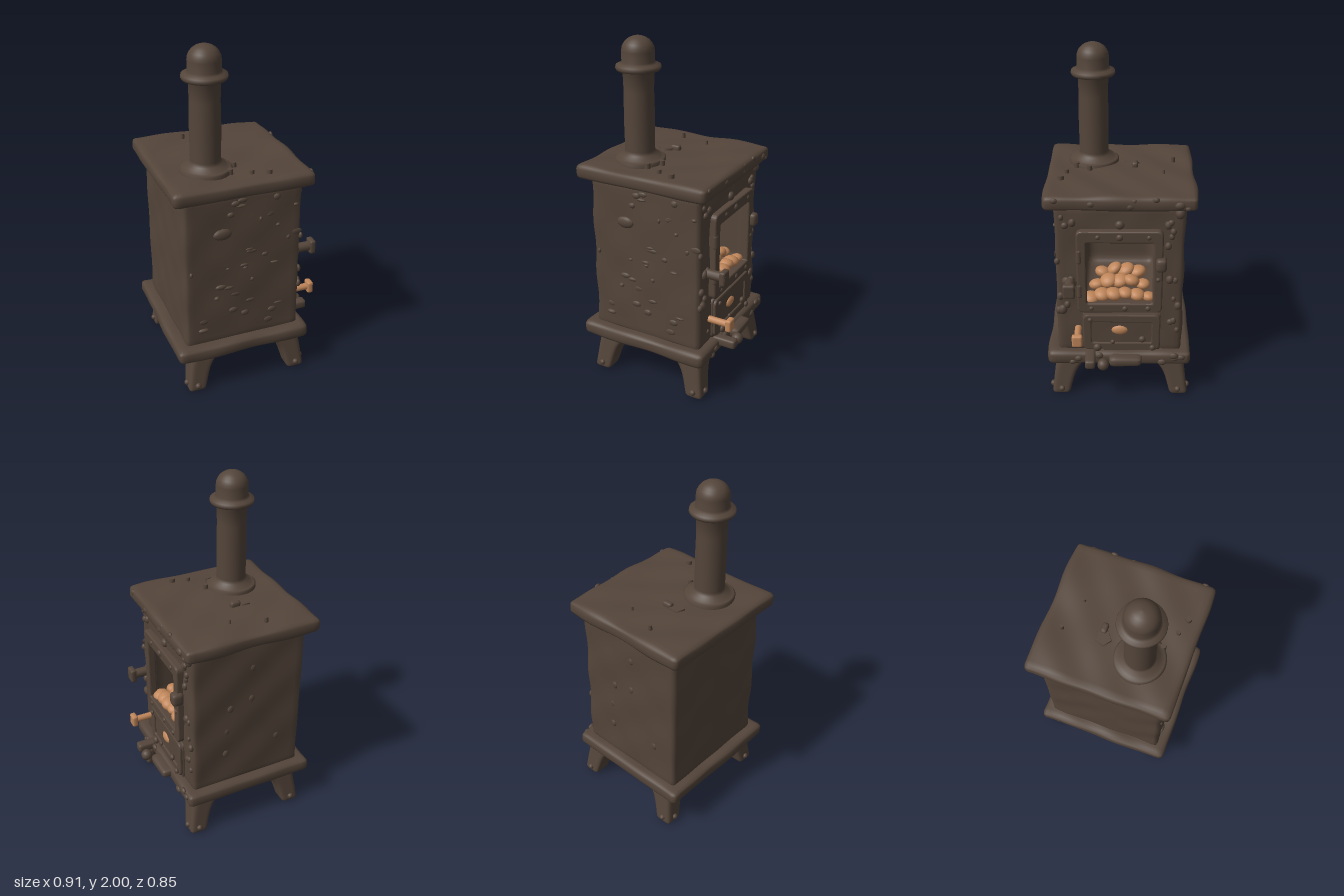
import * as THREE from 'three';
import { mergeVertices } from 'three/addons/utils/BufferGeometryUtils.js';

const iron = new THREE.MeshStandardMaterial({ color: 0x54453a, side: THREE.DoubleSide });
iron.name = 'dark iron';
const copper = new THREE.MeshStandardMaterial({ color: 0xc0865a });
copper.name = 'copper ember';

let seed = 11;
const rand = (a = 0, b = 1) => {
  seed = (seed * 16807) % 2147483647;
  return a + (b - a) * (seed / 2147483647);
};

// Smooth uneven surface value for hand-cast metal
const uneven = (p) =>
  Math.sin(p.x * 13 + p.y * 7) * Math.sin(p.y * 11 - p.z * 9) * 0.6 +
  Math.sin(p.z * 21 + p.x * 17 + 1) * Math.sin(p.y * 19 + 2) * 0.4;

// Finely divided box with rounded edges; keep(p) may drop faces, warp(p) may move points
function castBox([x0, x1], [y0, y1], [z0, z1], r, wobble = 0, { keep, warp, step = 0.025 } = {}) {
  const size = new THREE.Vector3(x1 - x0, y1 - y0, z1 - z0);
  const seg = size.toArray().map((s) => Math.max(4, Math.round(s / step)));
  let geo = new THREE.BoxGeometry(size.x, size.y, size.z, ...seg);
  geo.deleteAttribute('uv');
  geo.deleteAttribute('normal');
  geo = mergeVertices(geo);
  const pos = geo.attributes.position;
  const inner = size.clone().multiplyScalar(0.5).subScalar(r);
  const centre = new THREE.Vector3((x0 + x1) / 2, (y0 + y1) / 2, (z0 + z1) / 2);
  const p = new THREE.Vector3(), core = new THREE.Vector3();
  if (keep) {
    const idx = geo.index.array, kept = [];
    for (let i = 0; i < idx.length; i += 3) {
      p.set(0, 0, 0);
      for (let k = 0; k < 3; k++) p.add(core.fromBufferAttribute(pos, idx[i + k]));
      p.divideScalar(3).add(centre);
      if (keep(p)) kept.push(idx[i], idx[i + 1], idx[i + 2]);
    }
    geo.setIndex(kept);
  }
  for (let i = 0; i < pos.count; i++) {
    p.fromBufferAttribute(pos, i);
    core.copy(p).clamp(inner.clone().negate(), inner);
    const dir = p.clone().sub(core).normalize();
    p.copy(core).addScaledVector(dir, r).add(centre);
    p.addScaledVector(dir, uneven(p) * wobble);
    if (warp) warp(p);
    pos.setXYZ(i, p.x, p.y, p.z);
  }
  geo.computeVertexNormals();
  return geo;
}

export function createModel() {
  const model = new THREE.Group();
  const add = (name, geo, mat = iron, parent = model) => {
    const m = new THREE.Mesh(geo, mat);
    m.name = name;
    parent.add(m);
    return m;
  };
  const group = (name) => {
    const g = new THREE.Group();
    g.name = name;
    model.add(g);
    return g;
  };

  // Hollow body and firebox, open towards +x
  const shut = (p) => !(p.x > 0.29 && Math.abs(p.z) < 0.2 && p.y > 0.62 && p.y < 1.05);
  add('body', castBox([-0.39, 0.3], [0.29, 1.24], [-0.36, 0.36], 0.02, 0.006, { keep: shut }));
  add('firebox', castBox([-0.2, 0.3], [0.61, 1.06], [-0.21, 0.21], 0.05, 0, { keep: (p) => p.x < 0.297 }));

  // Top plate and base plate
  add('topPlate', castBox([-0.455, 0.355], [1.225, 1.307], [-0.42, 0.415], 0.025, 0.008));
  add('basePlate', castBox([-0.45, 0.35], [0.225, 0.308], [-0.415, 0.42], 0.025, 0.008));

  // Splayed legs, flaring where they meet the base
  for (const sx of [-1, 1]) for (const sz of [-1, 1]) {
    const leg = group('leg');
    const warp = (p) => {
      const t = Math.max(0, p.y / 0.24), flare = 0.03 * t + 0.075 * t ** 5;
      const inX = 0.5 - (p.x * sx) / 0.11, inZ = 0.5 - (p.z * sz) / 0.11;
      p.x = sx * (0.385 - 0.03 * t - inX * (0.105 + flare)) - 0.03 + (sx < 0 ? 0.02 : -0.015);
      p.z = sz * (0.405 - 0.03 * t - inZ * (0.105 + flare));
    };
    add('legCasting', castBox([-0.055, 0.055], [0, 0.25], [-0.055, 0.055], 0.022, 0, { warp, step: 0.011 }), iron, leg);
    const cx = sx < 0 ? -0.34 : 0.285;
    for (const [dx, dz] of [[0, 0.055], [0.05, 0]]) {
      add('legStud', new THREE.SphereGeometry(0.018, 10, 8), iron, leg)
        .position.set(cx + sx * dx, 0.04, sz * (0.35 + dz - 0.005));
    }
  }

  // Flue pipe with foot, collar and domed cap
  const profile = [[0.145, 1.29], [0.145, 1.32], [0.135, 1.328], [0.118, 1.328], [0.112, 1.342], [0.09, 1.35],
    [0.084, 1.37], [0.086, 1.55], [0.083, 1.7], [0.086, 1.81], [0.118, 1.818], [0.125, 1.83], [0.122, 1.845],
    [0.1, 1.852], [0.09, 1.865], [0.09, 1.92]];
  for (let i = 1; i <= 6; i++) {
    const a = (i / 6) * Math.PI / 2;
    profile.push([Math.max(0.0001, 0.09 * Math.cos(a)), 1.92 + 0.08 * Math.sin(a)]);
  }
  add('fluePipe', new THREE.LatheGeometry(profile.map(([x, y]) => new THREE.Vector2(x, y)), 40))
    .position.set(-0.19, 0, 0.155);

  // Fire door frame
  const rect = (S, hw, y0, y1, r) => {
    const s = new S();
    s.moveTo(-hw + r, y0); s.lineTo(hw - r, y0); s.quadraticCurveTo(hw, y0, hw, y0 + r);
    s.lineTo(hw, y1 - r); s.quadraticCurveTo(hw, y1, hw - r, y1);
    s.lineTo(-hw + r, y1); s.quadraticCurveTo(-hw, y1, -hw, y1 - r);
    s.lineTo(-hw, y0 + r); s.quadraticCurveTo(-hw, y0, -hw + r, y0);
    return s;
  };
  const frame = rect(THREE.Shape, 0.23, 0.59, 1.09, 0.025);
  frame.holes.push(rect(THREE.Path, 0.195, 0.632, 1.038, 0.02));
  const frameGeo = new THREE.ExtrudeGeometry(frame, {
    depth: 0.03, bevelEnabled: true, bevelSize: 0.01, bevelThickness: 0.01, bevelSegments: 3, curveSegments: 6 });
  frameGeo.rotateY(Math.PI / 2).translate(0.298, 0, 0);
  add('fireDoorFrame', frameGeo);

  // Ash door with raised rim
  add('ashDoor', castBox([0.28, 0.318], [0.31, 0.565], [-0.235, 0.215], 0.015, 0.003));
  const rim = rect(THREE.Shape, 0.215, 0.325, 0.55, 0.03);
  rim.holes.push(rect(THREE.Path, 0.18, 0.36, 0.515, 0.02));
  const rimGeo = new THREE.ExtrudeGeometry(rim, { depth: 0.01, bevelSize: 0.007, bevelThickness: 0.007, bevelSegments: 2 });
  add('ashDoorRim', rimGeo.rotateY(Math.PI / 2).translate(0.312, 0, -0.01));
  const nugget = add('emberPatch', new THREE.DodecahedronGeometry(0.04, 1), copper);
  nugget.position.set(0.312, 0.45, 0);
  nugget.scale.set(0.5, 0.8, 1.25);

  // Ember bed
  const coals = group('embers');
  for (let row = 0; row < 3; row++) for (let i = 0; i < 6 - row; i++) {
    const r = rand(0.036, 0.048);
    const c = add('ember', new THREE.SphereGeometry(r, 16, 12), copper, coals);
    const z = (i - (5 - row) / 2) * 0.066;
    c.position.set(0.27 - row * 0.07, 0.65 + row * 0.037 + 0.02 * Math.cos(z * 9) + rand(-0.012, 0.012), z);
    c.scale.set(1.15, 0.8, 1.15);
    c.rotation.set(rand(-0.4, 0.4), rand(0, 3), rand(-0.4, 0.4));
  }

  // Door handles: shaft along +x with a square end
  const handle = (name, mat, y, z, end, r, w) => {
    const g = group(name), len = end - 0.28;
    add('shaft', new THREE.CylinderGeometry(r, r, len, 14).rotateZ(Math.PI / 2), mat, g).position.set(0.28 + len / 2, y, z);
    add('grip', castBox([end - 0.035, end], [y - w, y + w], [z - w * 0.8, z + w * 0.8], 0.01, 0, { step: 0.008 }), mat, g);
  };
  handle('fireDoorHandle', iron, 0.768, 0.28, 0.428, 0.028, 0.042);
  handle('ashDoorHandle', copper, 0.455, 0.24, 0.45, 0.02, 0.037);

  // Ash lip, latch, hinge and knobs on the door side
  add('ashLip', castBox([0.28, 0.4], [0.245, 0.3], [-0.13, 0.06], 0.02, 0.006));
  add('ashLipPeg', castBox([0.3, 0.445], [0.26, 0.315], [0.14, 0.2], 0.015, 0, { step: 0.012 }));
  add('lipKnob', new THREE.SphereGeometry(0.034, 16, 12)).position.set(0.415, 0.277, 0.095);
  add('latch', castBox([0.3, 0.37], [0.86, 0.94], [-0.26, -0.2], 0.02, 0, { step: 0.015 }));
  for (const y of [0.72, 0.94]) {
    add('hinge', new THREE.CapsuleGeometry(0.018, 0.06, 4, 10)).position.set(0.325, y, 0.225);
  }

  // Studs on the door side [y, z, radius]
  const studs = group('doorStuds');
  for (const [y, z, r] of [[1.125, 0, 0.026], [1.065, 0, 0.02], [1.065, 0.12, 0.014], [1.065, -0.16, 0.014],
    [0.61, -0.03, 0.017], [0.61, 0.16, 0.014], [0.61, -0.16, 0.016], [0.8, -0.215, 0.014], [1.12, 0.3, 0.02],
    [1.14, -0.28, 0.018], [0.5, -0.29, 0.02], [0.4, -0.13, 0.02], [0.34, 0.13, 0.024], [0.38, 0.04, 0.014],
    [0.34, -0.19, 0.018], [0.53, 0.17, 0.014]]) {
    const s = add('stud', new THREE.SphereGeometry(r, 12, 8), iron, studs);
    s.position.set(Math.abs(z) < 0.25 && y < 1.1 ? 0.336 : 0.304, y, z);
    s.scale.x = 0.7;
  }

  // Rough casting lumps: door side edges, +z wall, other walls and plate rims
  const lumps = group('castingLumps');
  const lump = (x, y, z, sx, sy, sz) => {
    const l = add('lump', new THREE.IcosahedronGeometry(1, 1), iron, lumps);
    l.position.set(x, y, z);
    l.scale.set(sx, sy, sz);
  };
  for (let i = 0; i < 22; i++) {
    const s = rand(0.012, 0.028);
    lump(0.302, rand(0.36, 1.2), (i % 2 ? 1 : -1) * rand(0.25, 0.35), s * 0.8, s * 1.2, s);
  }
  for (let i = 0; i < 34; i++) {
    lump(rand(-0.36, 0.28), rand(0.36, 1.19), 0.357, rand(0.01, 0.035), rand(0.008, 0.022), rand(0.006, 0.016));
  }
  lump(-0.17, 1.0, 0.357, 0.055, 0.035, 0.018);
  for (let i = 0; i < 6; i++) lump(rand(-0.3, 0.2), rand(0.45, 1.1), -0.357, 0.02, 0.025, 0.01);
  for (let i = 0; i < 14; i++) {
    const s = rand(0.012, 0.024);
    lump(0.348, i % 2 ? rand(1.24, 1.3) : rand(0.24, 0.3), rand(-0.37, 0.38), s * 0.7, s, s * 1.3);
  }

  // Studs and scraps on the top plate [x, z, radius]
  const buttons = group('topStuds');
  for (const [x, z, r] of [[-0.17, -0.305, 0.012], [0.02, -0.245, 0.008], [0.02, 0.302, 0.014], [0.11, 0.328, 0.019],
    [-0.035, 0.175, 0.016], [-0.085, 0.25, 0.018]]) {
    add('topStud', new THREE.CylinderGeometry(r * 0.85, r, 0.04, 14), iron, buttons).position.set(x, 1.312, z);
  }
  add('topScrap', castBox([-0.125, -0.065], [1.295, 1.335], [-0.1, -0.065], 0.012, 0, { step: 0.01 }));
  add('topPatch', new THREE.CylinderGeometry(0.045, 0.05, 0.02, 5)).position.set(-0.15, 1.308, -0.07);

  return model;
}
